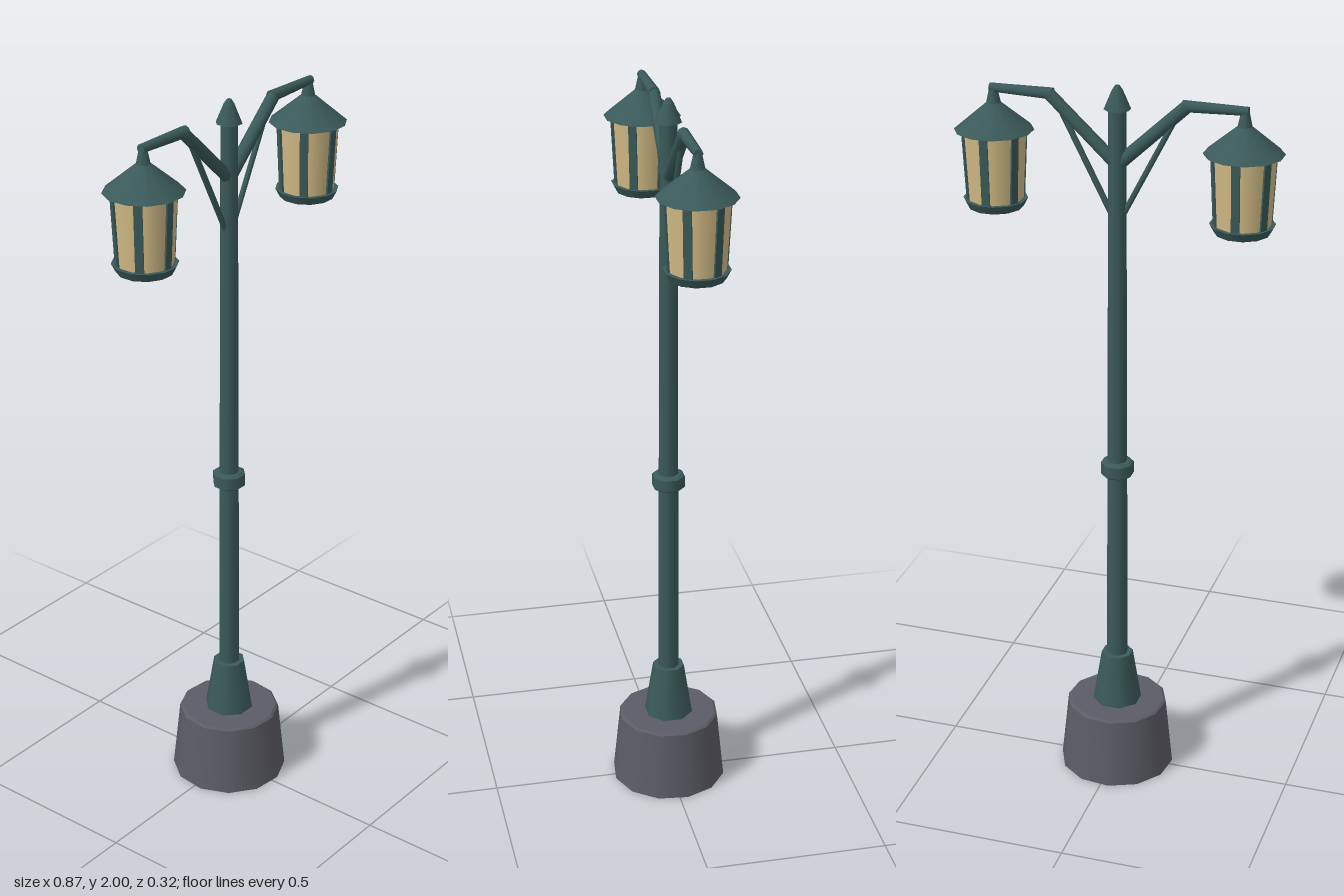
import * as THREE from 'three';

export function createModel() {
  const model = new THREE.Group();
  model.name = 'streetLamp';
  const mat = (name, color) => {
    const m = new THREE.MeshStandardMaterial({ color });
    m.name = name;
    return m;
  };
  const iron = mat('greenIron', 0x3a5a59);
  const stone = mat('greyStone', 0x5c5c66);
  const glass = mat('warmGlass', 0xd0b984);

  // Upright tapered cylinder between two heights
  function drum(parent, name, y0, y1, r0, r1, sides, material, turn = Math.PI / sides) {
    const g = new THREE.CylinderGeometry(r1, r0, y1 - y0, sides);
    g.rotateY(turn);
    const m = new THREE.Mesh(g, material);
    m.name = name;
    m.position.y = (y0 + y1) / 2;
    parent.add(m);
    return m;
  }

  // Tapered rod between two points
  function rod(parent, name, a, b, r0, r1, sides = 8) {
    const p = new THREE.Vector3(...a), q = new THREE.Vector3(...b);
    const dir = q.clone().sub(p);
    const m = new THREE.Mesh(new THREE.CylinderGeometry(r1, r0, dir.length(), sides), iron);
    m.name = name;
    m.position.copy(p).add(q).multiplyScalar(0.5);
    m.quaternion.setFromUnitVectors(new THREE.Vector3(0, 1, 0), dir.normalize());
    parent.add(m);
    return m;
  }

  // Stone footing with a slightly bevelled rim
  drum(model, 'footing', 0, 0.195, 0.16, 0.14, 12, stone, 0.14);
  drum(model, 'footingRim', 0.195, 0.2, 0.14, 0.133, 12, stone, 0.14);

  // Column
  drum(model, 'columnSkirt', 0.2, 0.35, 0.068, 0.044, 8, iron);
  drum(model, 'lowerColumn', 0.35, 0.93, 0.029, 0.027, 8, iron);
  drum(model, 'upperColumn', 0.93, 1.94, 0.027, 0.023, 8, iron);
  drum(model, 'collar', 0.912, 0.945, 0.045, 0.045, 8, iron);
  drum(model, 'collarTop', 0.945, 0.951, 0.045, 0.036, 8, iron);
  drum(model, 'collarBottom', 0.906, 0.912, 0.036, 0.045, 8, iron);
  drum(model, 'finial', 1.938, 1.988, 0.035, 0.014, 8, iron);
  drum(model, 'finialTip', 1.988, 2.0, 0.014, 0.006, 8, iron);

  function lantern() {
    const g = new THREE.Group();
    g.name = 'lantern';
    drum(g, 'hanger', 1.92, 1.965, 0.02, 0.01, 8, iron);
    drum(g, 'roof', 1.853, 1.925, 0.104, 0.018, 12, iron);
    drum(g, 'panes', 1.665, 1.855, 0.073, 0.083, 12, glass);
    drum(g, 'tray', 1.645, 1.668, 0.073, 0.085, 12, iron);
    // Six leaning bars between the panes
    for (let i = 0; i < 6; i++) {
      const a = Math.PI / 6 + (i * Math.PI) / 3;
      const pivot = new THREE.Group();
      pivot.name = 'bar';
      pivot.rotation.y = a;
      const bar = new THREE.Mesh(new THREE.BoxGeometry(0.008, 0.19, 0.022), iron);
      bar.name = 'barIron';
      bar.position.set(0.0765, 1.76, 0);
      bar.rotation.z = -0.052;
      pivot.add(bar);
      g.add(pivot);
    }
    return g;
  }

  // Matching arm, brace and lantern on both sides
  for (const s of [1, -1]) {
    const arm = new THREE.Group();
    arm.name = s > 0 ? 'leftArm' : 'rightArm';
    rod(arm, 'risingArm', [0, 1.79, 0], [s * 0.183, 1.962, 0], 0.018, 0.017);
    rod(arm, 'levelArm', [s * 0.172, 1.962, 0], [s * 0.342, 1.964, 0], 0.016, 0.012);
    rod(arm, 'brace', [s * 0.01, 1.645, 0], [s * 0.15, 1.92, 0], 0.008, 0.008, 6);
    const l = lantern();
    l.position.x = s * 0.333;
    arm.add(l);
    model.add(arm);
  }
  return model;
}
